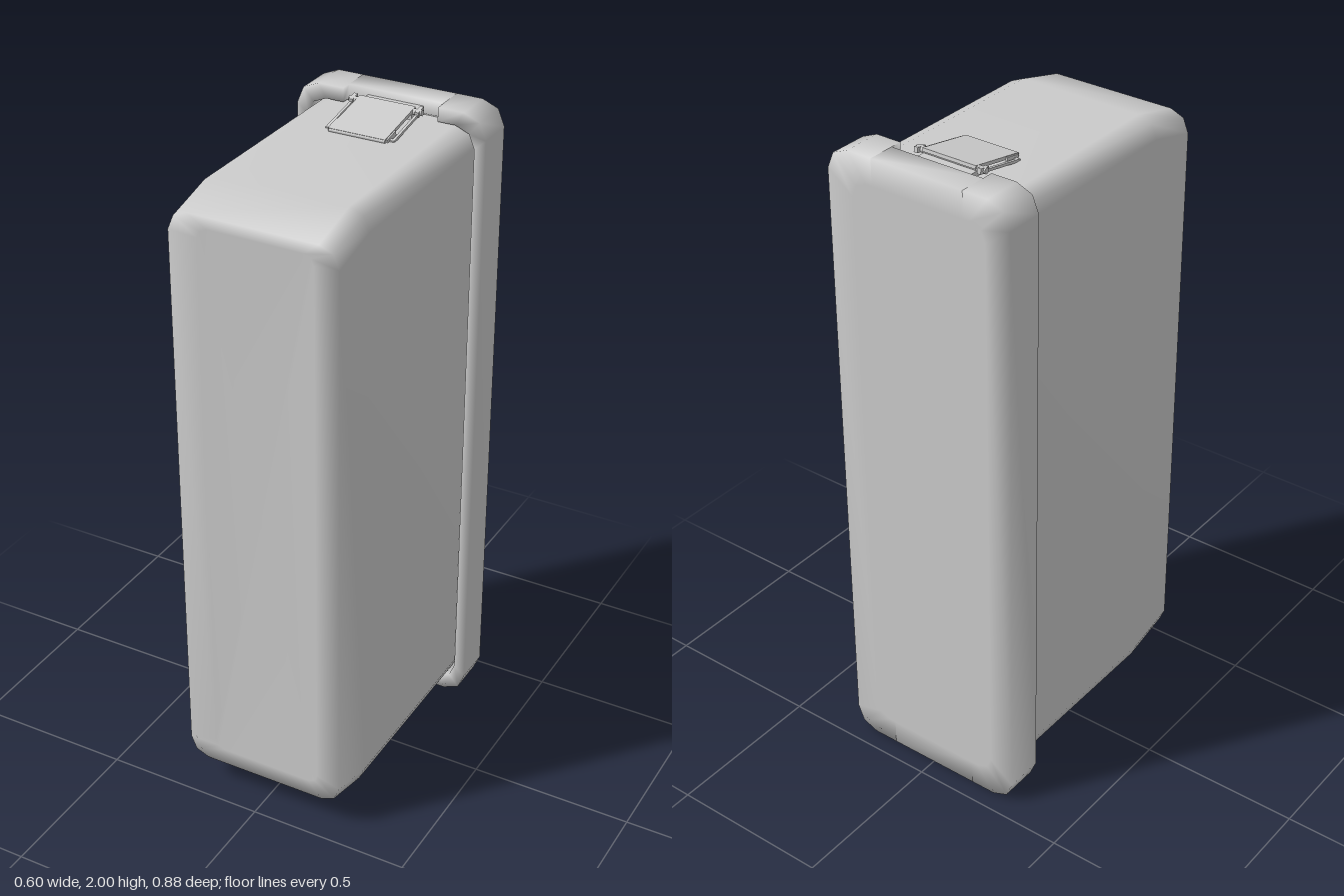
import * as THREE from 'three';

const grey = () => new THREE.MeshStandardMaterial({ color: 0xcccccc });

function add(parent, name, geometry, x = 0, y = 0, z = 0) {
  const mesh = new THREE.Mesh(geometry, grey());
  mesh.name = name;
  mesh.position.set(x, y, z);
  parent.add(mesh);
  return mesh;
}

// Rounded rectangle, counter-clockwise from the front. With a notch width, points
// are doubled at the notch edges so its middle part can sit at another depth.
function ring(hw, y0, y1, r, z, notch = 0, notchZ = z) {
  const pts = [];
  const corner = (cx, cy, start) => {
    for (let k = 0; k <= 2; k++) {
      const a = start + (k * Math.PI) / 4;
      pts.push([cx + r * Math.cos(a), cy + r * Math.sin(a), z]);
    }
  };
  const edge = (s, y) => {
    if (notch) pts.push([s * notch, y, z], [s * notch, y, notchZ], [-s * notch, y, notchZ], [-s * notch, y, z]);
  };
  corner(hw - r, y0 + r, -Math.PI / 2);
  corner(hw - r, y1 - r, 0);
  edge(1, y1);
  corner(-hw + r, y1 - r, Math.PI / 2);
  corner(-hw + r, y0 + r, Math.PI);
  edge(-1, y0);
  return pts;
}

// Smooth skin through rings listed from back to front, capped at both ends
function loft(rings) {
  const n = rings[0].length;
  const last = (rings.length - 1) * n;
  const pos = rings.flat(2);
  const index = [];
  for (let i = 0; i < rings.length - 1; i++) {
    for (let j = 0; j < n; j++) {
      const a = i * n + j, b = i * n + ((j + 1) % n);
      index.push(a, b, b + n, a, b + n, a + n);
    }
  }
  const back = last + n, front = back + 1;
  pos.push(0, 1, rings[0][0][2], 0, 1, rings[rings.length - 1][0][2]);
  for (let j = 0; j < n; j++) {
    const k = (j + 1) % n;
    index.push(back, k, j, front, last + j, last + k);
  }
  const g = new THREE.BufferGeometry();
  g.setAttribute('position', new THREE.Float32BufferAttribute(pos, 3));
  g.setIndex(index);
  g.computeVertexNormals();
  return g;
}

export function createModel() {
  const model = new THREE.Group();
  model.name = 'case';

  // Deep body, tapering at top and bottom toward a slightly dished front
  add(model, 'body', loft([
    ring(0.25, 0.06, 1.94, 0.06, -0.39),
    ring(0.257, 0.05, 1.953, 0.06, -0.38),
    ring(0.257, 0.05, 1.953, 0.06, 0.28),
    ring(0.257, 0.09, 1.912, 0.06, 0.44),
    ring(0.175, 0.13, 1.87, 0.03, 0.428),
  ]));

  // Back cover whose rim is cut away in the middle of its top and bottom
  add(model, 'backCover', loft([
    ring(0.22, 0.08, 1.92, 0.05, -0.44, 0.15),
    ring(0.3, 0, 2, 0.07, -0.44, 0.15),
    ring(0.3, 0, 2, 0.07, -0.32, 0.15, -0.355),
    ring(0.265, 0.042, 1.958, 0.06, -0.32, 0.15, -0.355),
    ring(0.262, 0.045, 1.955, 0.06, -0.36, 0.15),
  ]));

  // Sloping latch on top of the body
  const latch = new THREE.Group();
  latch.name = 'latch';
  latch.position.set(0, 1.975, -0.215);
  latch.rotation.x = 0.18;
  model.add(latch);
  add(latch, 'latchPlate', new THREE.BoxGeometry(0.176, 0.01, 0.185));
  add(latch, 'latchLip', new THREE.CylinderGeometry(0.006, 0.006, 0.176, 8).rotateZ(Math.PI / 2), 0, -0.001, 0.09);
  add(latch, 'latchPin', new THREE.CylinderGeometry(0.009, 0.009, 0.23, 10).rotateZ(Math.PI / 2), 0, -0.004, -0.08);
  for (const s of [-1, 1]) {
    add(latch, 'pinHead', new THREE.BoxGeometry(0.012, 0.016, 0.034), s * 0.104, -0.004, -0.082);
    add(latch, 'wireArm', new THREE.BoxGeometry(0.008, 0.008, 0.145), s * 0.103, -0.008, 0);
    add(latch, 'wireFoot', new THREE.BoxGeometry(0.022, 0.008, 0.01), s * 0.096, -0.008, 0.072);
    add(latch, 'latchCheek', new THREE.BoxGeometry(0.006, 0.014, 0.05), s * 0.09, -0.004, 0.062);
  }
  // Tongue joining the latch to the cover
  add(model, 'latchTongue', new THREE.BoxGeometry(0.176, 0.016, 0.09), 0, 1.972, -0.325);

  return model;
}
